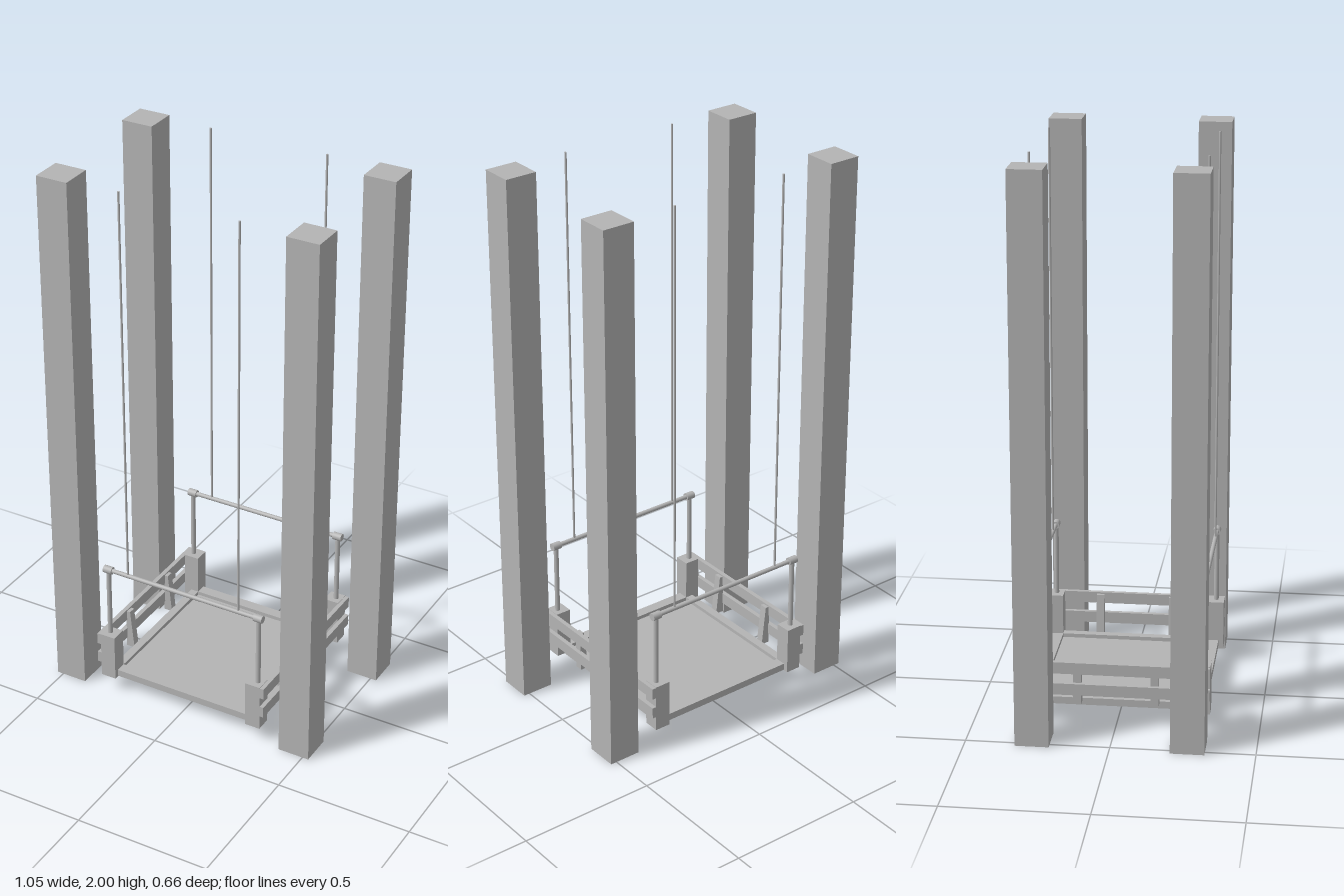
import * as THREE from 'three';

export function createModel() {
  const model = new THREE.Group();
  model.name = 'hoistLift';
  const grey = new THREE.MeshStandardMaterial({ color: 0xb4b4b4 });
  grey.name = 'plain grey';

  const add = (name, geometry, x, y, z) => {
    const mesh = new THREE.Mesh(geometry, grey);
    mesh.name = name;
    mesh.position.set(x, y, z);
    model.add(mesh);
    return mesh;
  };
  // box given by its lower and upper limits on each axis
  const box = (name, x0, x1, y0, y1, z0, z1) =>
    add(name, new THREE.BoxGeometry(x1 - x0, y1 - y0, z1 - z0),
      (x0 + x1) / 2, (y0 + y1) / 2, (z0 + z1) / 2);
  const upright = (name, radius, x, y0, y1, z) =>
    add(name, new THREE.CylinderGeometry(radius, radius, y1 - y0, 16), x, (y0 + y1) / 2, z);
  const crossways = (name, radius, x, y, z, length) => {
    add(name, new THREE.CylinderGeometry(radius, radius, length, 20), x, y, z).rotation.z = Math.PI / 2;
  };

  // Platform: thin floor inside a raised rim
  box('platformFloor', -0.27, 0.27, 0.064, 0.076, -0.27, 0.27);
  for (const s of [-1, 1]) {
    const z = s * 0.29;
    box('rimEnd', -0.3, 0.3, 0.064, 0.09, z - 0.02, z + 0.02);
    const x = s * 0.285;
    box('rimSide', x - 0.015, x + 0.015, 0.064, 0.09, -0.27, 0.27);
  }

  // Tapered bracket holding the side rails to the platform
  const bracketShape = new THREE.Shape([
    new THREE.Vector2(0.298, 0.08), new THREE.Vector2(0.33, 0.08),
    new THREE.Vector2(0.33, 0.232), new THREE.Vector2(0.314, 0.232),
  ]);
  const mirroredShape = new THREE.Shape(
    bracketShape.getPoints().map((p) => new THREE.Vector2(-p.x, p.y)));

  for (const sx of [-1, 1]) {
    // Two slats along each side
    for (const y of [0.217, 0.138]) {
      const x = sx * 0.335;
      box('sideRail', x - 0.008, x + 0.008, y - 0.021, y + 0.021, -0.328, 0.328);
    }

    for (const sz of [-1, 1]) {
      // Tall shaft columns
      box('shaftColumn', sx * 0.464 - 0.059, sx * 0.464 + 0.059, 0, 2,
        sz * 0.267 - 0.059, sz * 0.267 + 0.059);
      // Cage corner blocks
      box('cornerBlock', sx * 0.299 - 0.029, sx * 0.299 + 0.029, 0.062, 0.24,
        sz * 0.299 - 0.029, sz * 0.299 + 0.029);
      // Rail brackets
      const bracket = new THREE.ExtrudeGeometry(sx > 0 ? bracketShape : mirroredShape,
        { depth: 0.028, bevelEnabled: false });
      add('railBracket', bracket, 0, 0, sz * 0.135 - 0.014);
      // Lifting posts, bar sockets and cables
      upright('liftingPost', 0.009, sx * 0.305, 0.23, 0.51, sz * 0.298);
      crossways('barSocket', 0.014, sx * 0.305, 0.51, sz * 0.298, 0.034);
      upright('liftingCable', 0.004, sx * 0.224, 0.51, 2, sz * 0.298);
    }
  }

  // Lifting bars across front and back
  for (const sz of [-1, 1]) crossways('liftingBar', 0.008, 0, 0.51, sz * 0.298, 0.6);

  return model;
}
